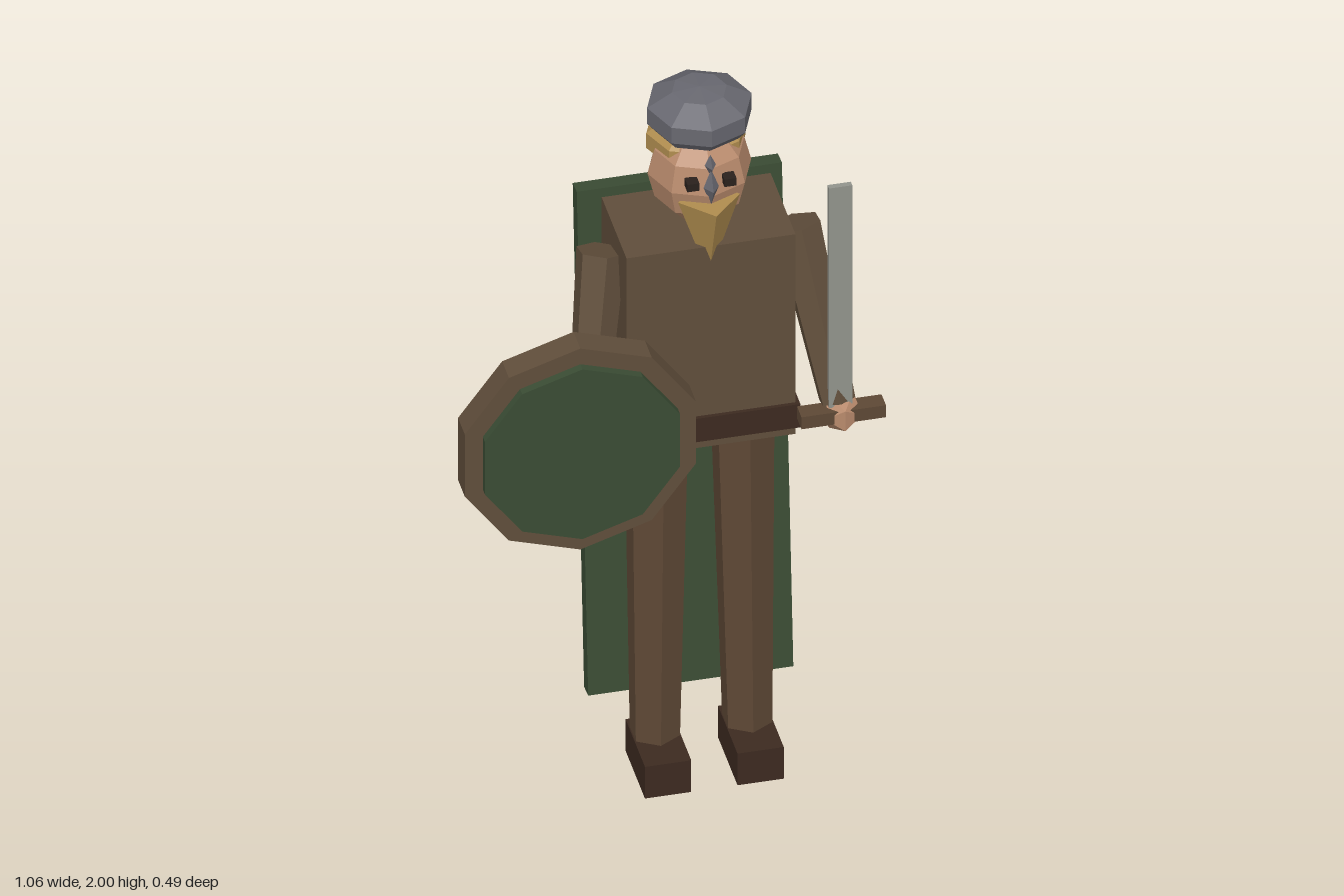
import * as THREE from 'three';

const CX = 0.107; // body centre line, shifted by the shield and sword

function mat(name, color) {
  const m = new THREE.MeshStandardMaterial({ color, flatShading: true });
  m.name = name;
  return m;
}

export function createModel() {
  const group = new THREE.Group();
  const tunic = mat('tunic brown', 0x604e3b);
  const trousers = mat('trouser brown', 0x5e4835);
  const leather = mat('dark leather', 0x3c2a20);
  const green = mat('forest green', 0x3a4c34);
  const skin = mat('skin', 0xb88a6c);
  const hair = mat('blond hair', 0xb08d4f);
  const iron = mat('iron', 0x686870);
  const steel = mat('blade steel', 0x92948c);
  const black = mat('eye dark', 0x2a211d);

  function add(name, geometry, material, x, y, z) {
    const mesh = new THREE.Mesh(geometry, material);
    mesh.name = name;
    mesh.position.set(x, y, z);
    group.add(mesh);
    return mesh;
  }
  const box = (name, m, w, h, d, x, y, z) => add(name, new THREE.BoxGeometry(w, h, d), m, x, y, z);

  // Six-sided tapered limb from top point a to bottom point b
  function limb(name, m, a, b, rTop, rBottom) {
    const top = new THREE.Vector3(...a), bottom = new THREE.Vector3(...b);
    const dir = top.clone().sub(bottom);
    const mid = top.add(bottom).multiplyScalar(0.5);
    const mesh = add(name, new THREE.CylinderGeometry(rTop, rBottom, dir.length(), 6), m, mid.x, mid.y, mid.z);
    mesh.quaternion.setFromUnitVectors(new THREE.Vector3(0, 1, 0), dir.normalize());
  }

  // Torso, belt and cape
  box('torso', tunic, 0.42, 0.6, 0.256, CX, 1.305, -0.008);
  box('belt', leather, 0.44, 0.07, 0.276, CX, 1.065, -0.008);
  box('cape', green, 0.51, 1.435, 0.042, CX, 0.862, -0.168).rotation.x = -0.082;

  // Legs, boots, arms, hands and eyes, mirrored about the body
  for (const s of [-1, 1]) {
    const side = s > 0 ? 'left' : 'right';
    limb(side + 'Leg', trousers, [CX + s * 0.107, 1.03, 0], [CX + s * 0.115, 0.07, 0.018], 0.081, 0.063);
    box(side + 'Boot', leather, 0.115, 0.095, 0.2, CX + s * 0.115, 0.0475, 0.055);
    limb(side + 'Arm', tunic, [CX + s * 0.243, 1.545, -0.006], [CX + s * 0.312, 1.1, 0.128], 0.062, 0.047);
    add(side + 'Hand', new THREE.IcosahedronGeometry(0.056), skin, CX + s * 0.318, 1.072, 0.14);
    box(side + 'Eye', black, 0.03, 0.022, 0.03, CX + s * 0.046, 1.796, 0.115);
  }

  // Head and hair
  add('head', new THREE.SphereGeometry(0.129, 8, 6), skin, CX, 1.76, 0).scale.y = 1.08;
  add('hair', new THREE.SphereGeometry(0.13, 8, 5), hair, CX, 1.833, -0.035).scale.set(1, 0.55, 0.96);

  // Pointed beard with a ridge at the front
  const beard = add('beard', new THREE.ConeGeometry(0.077, 0.235, 4), hair, CX, 1.618, 0.1);
  beard.rotation.x = Math.PI;

  // Helmet cap and nose guard
  const profile = [[0, 1.885], [0.11, 1.885], [0.13, 1.91], [0.13, 1.957], [0.068, 1.993], [0, 2]];
  add('helmet', new THREE.LatheGeometry(profile.map(p => new THREE.Vector2(...p)), 8), iron, CX, 0, 0);
  add('noseGuard', new THREE.OctahedronGeometry(1), iron, CX, 1.785, 0.122).scale.set(0.019, 0.053, 0.026);
  add('noseGuardTop', new THREE.OctahedronGeometry(1), iron, CX, 1.845, 0.113).scale.set(0.014, 0.03, 0.024);

  // Ten-sided shield with a raised green face
  add('shield', new THREE.CylinderGeometry(0.302, 0.302, 0.07, 10), tunic, -0.243, 1.132, 0.19).rotation.x = Math.PI / 2;
  add('shieldFace', new THREE.CylinderGeometry(0.255, 0.255, 0.05, 10), green, -0.243, 1.132, 0.222).rotation.x = Math.PI / 2;

  // Sword
  box('blade', steel, 0.058, 0.66, 0.015, 0.419, 1.43, 0.155);
  box('crossguard', trousers, 0.21, 0.036, 0.046, 0.423, 1.078, 0.155);

  return group;
}
